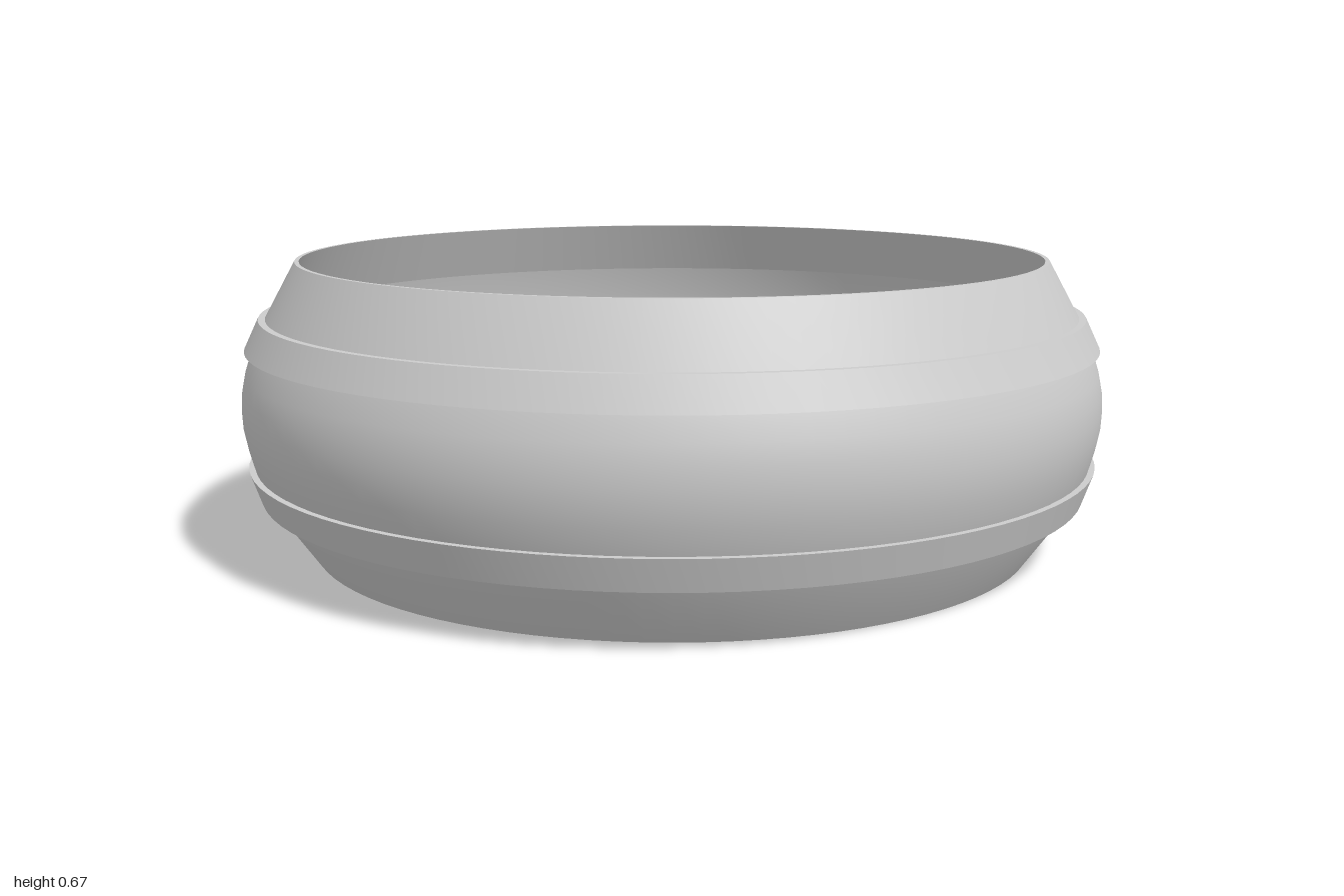
import * as THREE from 'three';
import { toCreasedNormals } from 'three/addons/utils/BufferGeometryUtils.js';

const SEGMENTS = 96;

export function createModel() {
  const group = new THREE.Group();
  group.name = 'bowl';
  const material = new THREE.MeshStandardMaterial({ color: 0xcccccc });

  // Revolves a profile of [radius, height] pairs, keeping sharp edges
  function addLathe(name, profile) {
    const points = profile.map(([r, y]) => new THREE.Vector2(r, y));
    const geometry = toCreasedNormals(new THREE.LatheGeometry(points, SEGMENTS), 0.4);
    const mesh = new THREE.Mesh(geometry, material);
    mesh.name = name;
    group.add(mesh);
  }

  // Base, sloping foot, bulging belly and tapered collar up to the thin rim
  addLathe('outerShell', [
    [0, 0], [0.85, 0], [0.945, 0.135], [0.975, 0.205],
    [0.99, 0.26], [0.998, 0.3], [1, 0.34], [0.998, 0.38], [0.99, 0.42],
    [0.972, 0.475], [0.943, 0.54], [0.872, 0.67], [0.862, 0.67],
  ]);

  // Stepped inside wall running down to a softly rounded floor
  addLathe('innerShell', [
    [0.862, 0.67], [0.927, 0.54], [0.94, 0.54], [0.965, 0.46],
    [0.975, 0.4], [0.977, 0.35], [0.962, 0.35], [0.96, 0.28],
    [0.935, 0.2], [0.905, 0.145], [0.88, 0.11], [0.85, 0.085],
    [0.81, 0.072], [0.76, 0.07], [0, 0.07],
  ]);

  // Raised bands, above and below the belly
  addLathe('lowerBand', [
    [0.935, 0.135], [0.965, 0.135], [0.99, 0.207], [0.965, 0.207],
  ]);
  addLathe('upperBand', [
    [0.96, 0.473], [0.99, 0.473], [0.957, 0.543], [0.935, 0.543],
  ]);

  return group;
}
